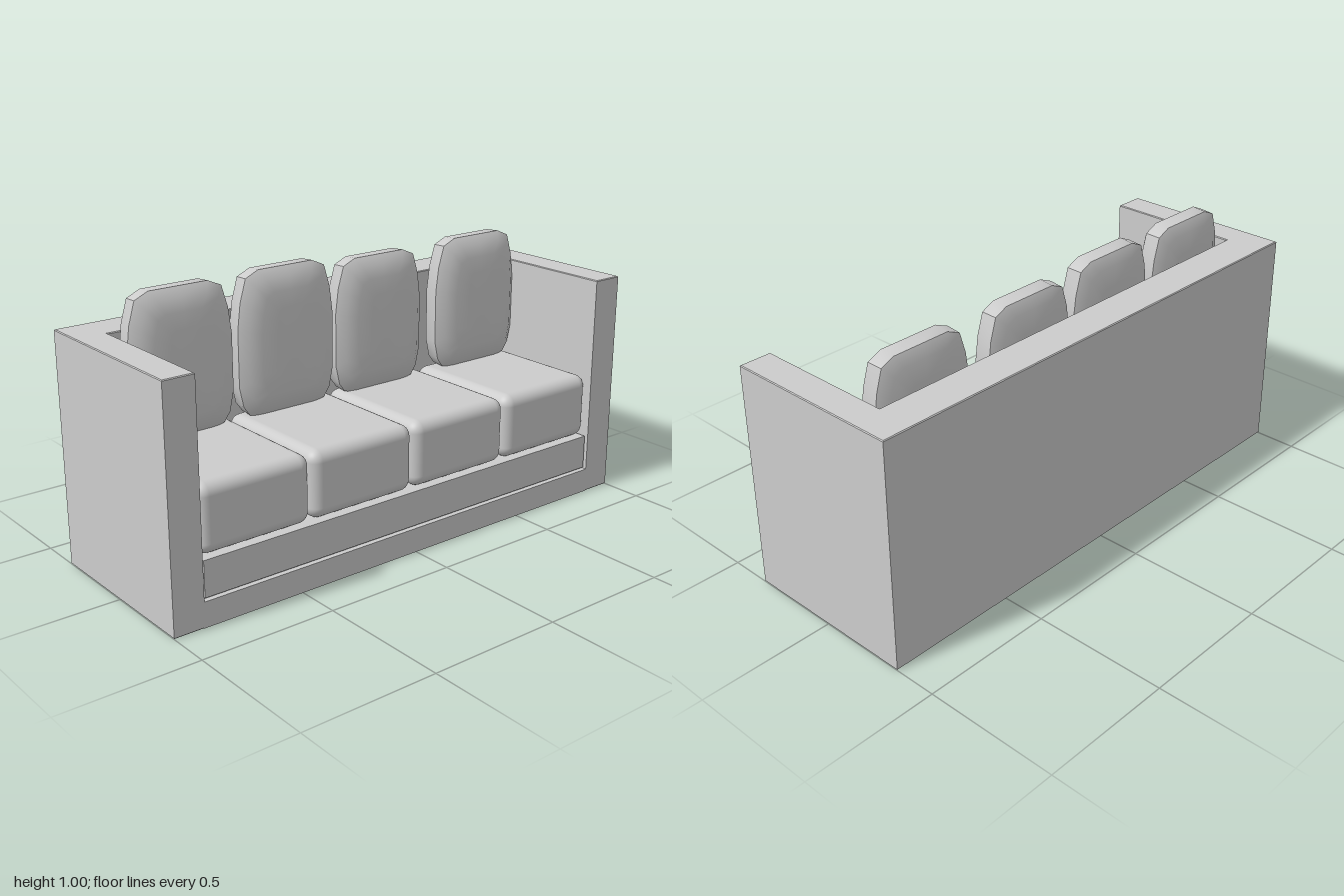
import * as THREE from 'three';
import { RoundedBoxGeometry } from 'three/addons/geometries/RoundedBoxGeometry.js';
import { mergeVertices, toCreasedNormals } from 'three/addons/utils/BufferGeometryUtils.js';

const INNER_L = -0.885, INNER_R = 0.88, BACK_Z = -0.19, DEPTH = 0.34;

// Back pillow: an eight-cornered outline with softened sides, lofted front to back
function pillowGeometry(w, h) {
  const half = [[0, 0.5], [0.28, 0.5], [0.41, 0.455], [0.47, 0.3], [0.5, 0.12],
    [0.5, -0.27], [0.46, -0.41], [0.4, -0.475], [0.28, -0.5], [0, -0.5]];
  const outline = [...half, ...half.slice(1, -1).reverse().map(([x, y]) => [-x, y])];
  // each layer: [z, inset from the outline]
  const layers = [[-0.178, 0.2], [-0.18, 0.12], [-0.177, 0.045], [-0.157, 0.004], [-0.1, 0],
    [-0.076, 0.032], [-0.067, 0.08], [-0.062, 0.14]];
  const n = outline.length, pos = [], idx = [];
  for (const [z, inset] of layers)
    for (const [x, y] of outline) pos.push(x * (w - 2 * inset), y * (h - 2 * inset), z);
  for (let k = 0; k < layers.length - 1; k++)
    for (let i = 0; i < n; i++) {
      const a = k * n + i, b = k * n + (i + 1) % n;
      idx.push(a, a + n, b, b, a + n, b + n);
    }
  // centre fans close the back and the front
  const backC = pos.length / 3, frontC = backC + 1, last = (layers.length - 1) * n;
  pos.push(0, 0, -0.178, 0, 0, -0.061);
  for (let i = 0; i < n; i++) {
    const j = (i + 1) % n;
    idx.push(backC, i, j, frontC, last + j, last + i);
  }
  const g = new THREE.BufferGeometry();
  g.setAttribute('position', new THREE.Float32BufferAttribute(pos, 3));
  g.setIndex(idx);
  return toCreasedNormals(mergeVertices(g), 0.72);
}

export function createModel() {
  const sofa = new THREE.Group();
  sofa.name = 'sofa';
  const fabric = new THREE.MeshStandardMaterial({ color: 0xcccccc });
  fabric.name = 'light grey fabric';

  const add = (name, geometry, x = 0, y = 0, z = 0) => {
    const mesh = new THREE.Mesh(geometry, fabric);
    mesh.name = name;
    mesh.position.set(x, y, z);
    sofa.add(mesh);
    return mesh;
  };
  const addBox = (name, x0, x1, y0, y1, z0, z1) => add(name,
    new THREE.BoxGeometry(x1 - x0, y1 - y0, z1 - z0), (x0 + x1) / 2, (y0 + y1) / 2, (z0 + z1) / 2);

  // Arms and back: one U-shaped plan raised to arm height
  const plan = new THREE.Shape([[-1, -DEPTH], [INNER_L, -DEPTH], [INNER_L, -BACK_Z], [INNER_R, -BACK_Z],
    [INNER_R, -DEPTH], [1, -DEPTH], [1, DEPTH], [-1, DEPTH]].map(([x, y]) => new THREE.Vector2(x, y)));
  const bevel = 0.003;
  const frame = new THREE.ExtrudeGeometry(plan, {
    depth: 0.85 - 2 * bevel, bevelEnabled: true, bevelSegments: 1,
    bevelSize: bevel, bevelThickness: bevel, bevelOffset: -bevel,
  });
  frame.rotateX(-Math.PI / 2).translate(0, bevel, 0);
  add('armsAndBack', frame);

  // Bottom rail and the slightly recessed seat base
  addBox('bottomRail', INNER_L - 0.005, INNER_R + 0.005, 0, 0.092, BACK_Z - 0.01, DEPTH);
  addBox('seatBase', INNER_L + 0.008, INNER_R - 0.008, 0.1, 0.23, BACK_Z, DEPTH - 0.008);
  addBox('baseGap', INNER_L, INNER_R, 0.09, 0.225, BACK_Z, DEPTH - 0.02);

  // Seat cushions
  const pitch = (INNER_R - INNER_L) / 4;
  for (let i = 0; i < 4; i++)
    add('seatCushion' + (i + 1), new RoundedBoxGeometry(pitch - 0.003, 0.245, 0.51, 4, 0.042),
      INNER_L + pitch * (i + 0.5), 0.354, 0.07);

  // Back pillows: [centre x, width, top]
  [[-0.665, 0.405, 0.992], [-0.234, 0.408, 0.997], [0.186, 0.402, 0.975], [0.673, 0.408, 0.981]]
    .forEach(([x, w, top], i) => {
      const bottom = 0.468;
      add('backPillow' + (i + 1), pillowGeometry(w, top - bottom), x, (top + bottom) / 2, 0);
    });

  return sofa;
}
